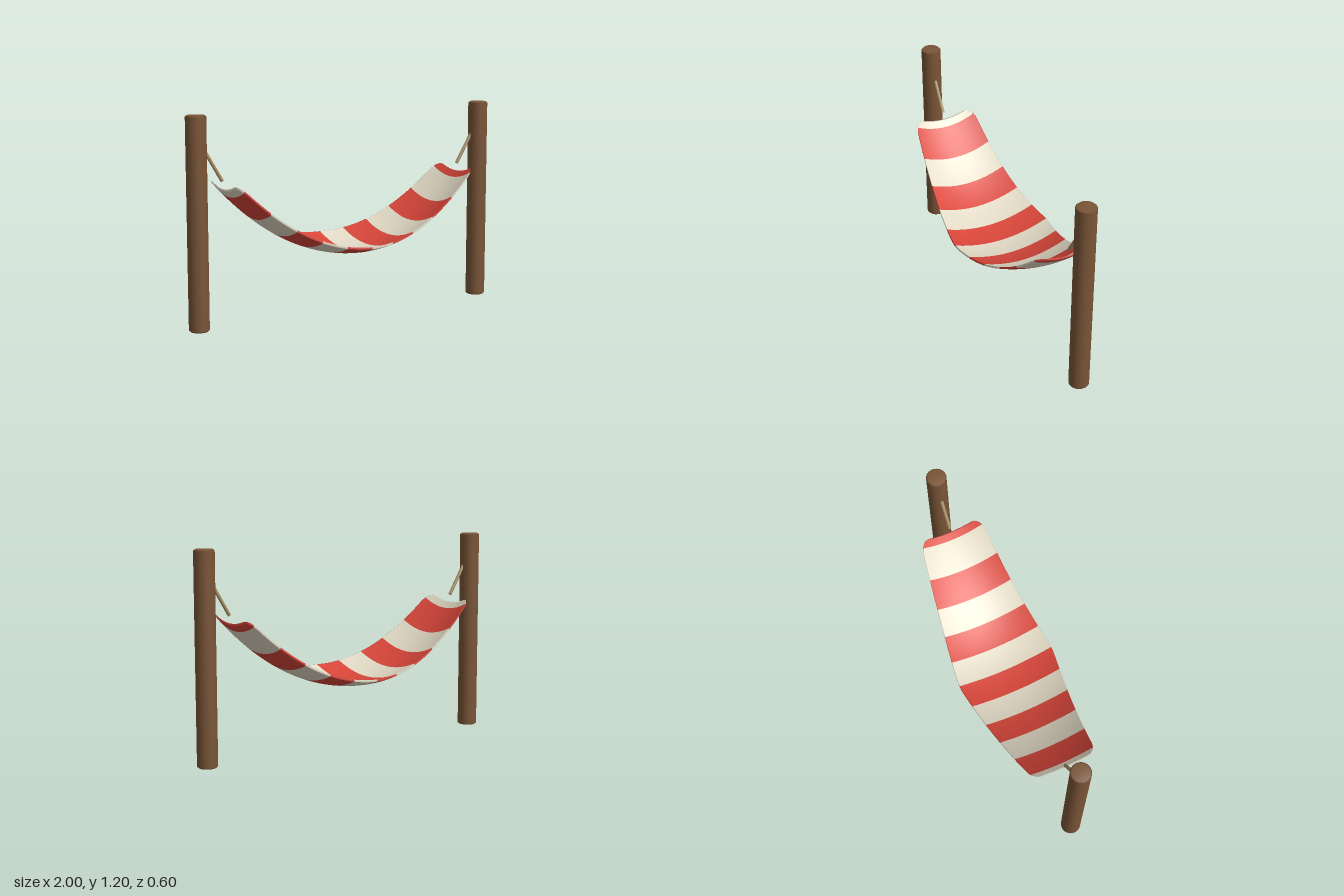
import * as THREE from 'three';

const mat = (name, color) => new THREE.MeshStandardMaterial({ name, color });

// Half width of the cloth: widest in the middle, rounded corners at the ends
const END = 0.785, STRIPE = 0.15, THICK = 0.012;
function taper(x) {
  return 0.306 - 0.148 * Math.hypot(x, 0.04);
}
function halfWidth(x) {
  const r = 0.065, d = Math.max(0, r - (END - Math.abs(x))) / r;
  return taper(x) - 0.055 * (1 - Math.sqrt(Math.max(0, 1 - d * d)));
}
// Underside height: sagging lengthwise and curling up at the long edges
function height(x, z) {
  const curl = 0.06 - 0.012 * Math.abs(x) / END;
  return 0.36 + 0.67 * x * x + curl * (z / taper(x)) ** 2;
}

function clothGeometry() {
  // Stations along the length, with one on every stripe border
  const stops = [-END];
  for (let i = -5; i <= 5; i++) stops.push(i * STRIPE);
  stops.push(END);
  const xs = [-END];
  for (let s = 0; s < stops.length - 1; s++) {
    for (let k = 1; k <= 8; k++) xs.push(THREE.MathUtils.lerp(stops[s], stops[s + 1], k / 8));
  }
  // Each cross-section is a closed loop: over the top, back underneath
  const M = 24, ring = 2 * (M + 1), pos = [];
  for (const x of xs) {
    const w = halfWidth(x);
    for (let j = 0; j < ring; j++) {
      const top = j <= M;
      const t = (top ? j : ring - 1 - j) / M * 2 - 1;
      const z = w * Math.sin(t * Math.PI / 2);
      pos.push(x, height(x, z) + (top ? THICK : 0), z);
    }
  }
  const lists = [[], []]; // cream, red
  for (let i = 0; i < xs.length - 1; i++) {
    const stripe = Math.floor((xs[i] + xs[i + 1]) / 2 / STRIPE);
    const out = lists[Math.abs(stripe % 2)];
    for (let j = 0; j < ring; j++) {
      const a = i * ring + j, b = i * ring + (j + 1) % ring;
      out.push(a, b, a + ring, b, b + ring, a + ring);
    }
  }
  // Close both ends
  const last = (xs.length - 1) * ring;
  for (let j = 0; j < M; j++) {
    const k = ring - 1 - j;
    lists[0].push(j, k, j + 1, j + 1, k, k - 1);
    lists[1].push(last + j, last + j + 1, last + k, last + j + 1, last + k - 1, last + k);
  }
  const geo = new THREE.BufferGeometry();
  geo.setAttribute('position', new THREE.Float32BufferAttribute(pos, 3));
  geo.setIndex([...lists[0], ...lists[1]]);
  geo.addGroup(0, lists[0].length, 0);
  geo.addGroup(lists[0].length, lists[1].length, 1);
  geo.computeVertexNormals();
  return geo;
}

export function createModel() {
  const group = new THREE.Group();
  group.name = 'hammock';
  const wood = mat('wood', 0x7a5537);
  const rope = mat('rope', 0xa8926a);
  const cream = mat('creamCloth', 0xe3dbc6);
  const red = mat('redCloth', 0xd9463a);

  const add = (name, geo, material) => {
    const mesh = new THREE.Mesh(geo, material);
    mesh.name = name;
    group.add(mesh);
    return mesh;
  };

  add('stripedCloth', clothGeometry(), [cream, red]);

  // Post with slightly softened rims
  const R = 0.058, H = 1.2, B = 0.008;
  const postGeo = new THREE.LatheGeometry(
    [[0, 0], [R - B, 0], [R, B], [R, H - B], [R - B, H], [0, H]].map(p => new THREE.Vector2(...p)), 32);

  for (const [side, s] of [['left', 1], ['right', -1]]) {
    add(side + 'Post', postGeo, wood).position.x = s * (1 - R);
    // Rope running from the post down towards the cloth
    const path = new THREE.LineCurve3(
      new THREE.Vector3(s * 0.9, 1.015, 0), new THREE.Vector3(s * 0.789, 0.83, 0));
    const len = path.getLength();
    const line = add(side + 'Rope', new THREE.CylinderGeometry(0.01, 0.01, len, 12), rope);
    line.position.copy(path.getPoint(0.5));
    line.quaternion.setFromUnitVectors(new THREE.Vector3(0, 1, 0), path.getTangent(0).negate());
  }
  return group;
}
